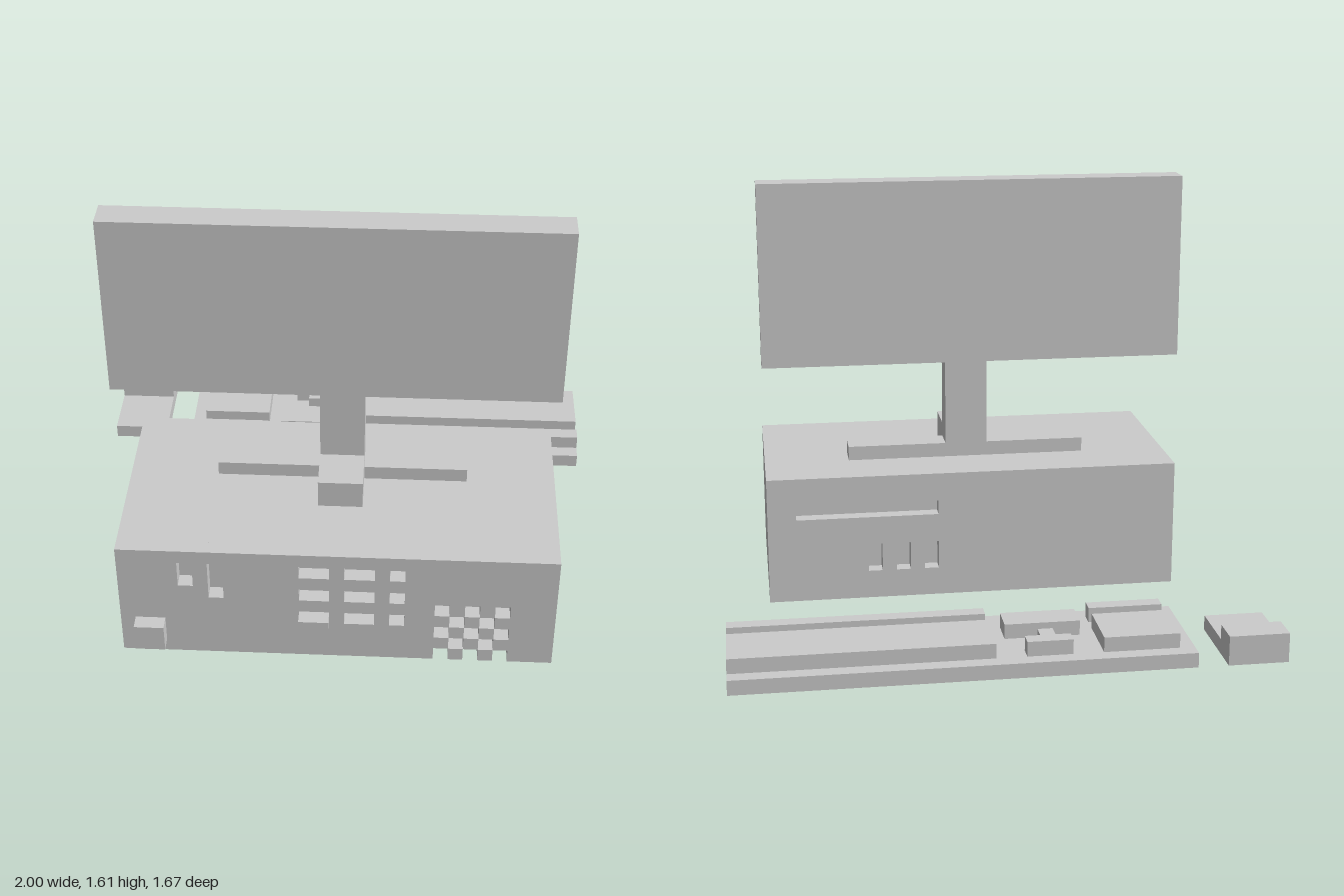
import * as THREE from 'three';

// Everything sits on a block grid, 18 blocks per unit
const U = 1 / 18;
const material = new THREE.MeshStandardMaterial({ color: 0xcccccc, flatShading: true });

// Box from its grid limits
function block(parent, name, x0, x1, y0, y1, z0, z1) {
  const geometry = new THREE.BoxGeometry((x1 - x0) * U, (y1 - y0) * U, (z1 - z0) * U);
  const mesh = new THREE.Mesh(geometry, material);
  mesh.name = name;
  mesh.position.set((x0 + x1) / 2 * U, (y0 + y1) / 2 * U, (z0 + z1) / 2 * U);
  parent.add(mesh);
}

// One-block-thick panel with rectangular openings [x0, x1, y0, y1]
function panel(parent, name, outline, openings, z) {
  const toPoints = (list) => list.map(([x, y]) => new THREE.Vector2(x * U, y * U));
  const shape = new THREE.Shape(toPoints(outline));
  for (const [x0, x1, y0, y1] of openings) {
    shape.holes.push(new THREE.Path(toPoints([[x0, y0], [x0, y1], [x1, y1], [x1, y0]])));
  }
  const geometry = new THREE.ExtrudeGeometry(shape, { depth: U, bevelEnabled: false });
  const mesh = new THREE.Mesh(geometry, material);
  mesh.name = name;
  mesh.position.z = z * U;
  parent.add(mesh);
}

function group(parent, name) {
  const g = new THREE.Group();
  g.name = name;
  parent.add(g);
  return g;
}

export function createModel() {
  const model = new THREE.Group();
  model.name = 'desktopComputer';

  // Case: solid core between a front and a back panel
  const body = group(model, 'case');
  block(body, 'caseCore', -14, 15, 0, 9, 1, 13);

  // Front panel: two tall slots and a 3 x 3 set of small openings
  const frontOpenings = [[-10, -9, 6, 8], [-8, -7, 5, 8]];
  for (const y of [3, 5, 7]) {
    for (const [x0, x1] of [[-2, 0], [1, 3], [4, 5]]) {
      if (y === 3 && x0 === -2) continue; // taken by the drive button
      frontOpenings.push([x0, x1, y, y + 1]);
    }
  }
  panel(body, 'frontPanel',
    [[-14, 0], [7, 0], [7, 5], [12, 5], [12, 0], [15, 0], [15, 9], [-14, 9]],
    frontOpenings, 13);

  // Chequered vent in the lower corner
  for (let row = 0; row < 5; row++) {
    for (let col = 0; col < 5; col++) {
      if ((row + col) % 2) block(body, 'ventBlock', 7 + col, 8 + col, row, row + 1, 13, 14);
    }
  }

  // Raised buttons
  block(body, 'powerButton', -13, -11, 1, 3, 14, 15);
  block(body, 'driveButton', -2, 0, 3, 4, 14, 15);

  // Back panel: long slot over three ports
  panel(body, 'backPanel', [[-14, 0], [15, 0], [15, 9], [-14, 9]],
    [[3, 13, 6, 7], [3, 4, 2, 4], [5, 6, 2, 4], [7, 8, 2, 4]], 0);

  // Monitor and stand
  const monitor = group(model, 'monitor');
  block(monitor, 'screen', -15, 15, 16, 29, 4, 6);
  block(monitor, 'neck', -1, 2, 9, 16, 4, 6);
  block(monitor, 'standFoot', -1, 2, 9, 11, 6, 9);
  block(monitor, 'standBarRight', -8, -1, 9, 10, 4, 6);
  block(monitor, 'standBarLeft', 2, 9, 9, 10, 4, 6);

  // Keyboard with raised key groups
  const keyboard = group(model, 'keyboard');
  block(keyboard, 'keyboardBase', -12, 18, 0, 1, -15, -7);
  for (const [x0, x1] of [[-11, -6], [1, 18]]) {
    block(keyboard, 'keyBlock', x0, x1, 1, 2, -14, -10);
    block(keyboard, 'keyRow', x0, x1, 1, 2, -9, -8);
  }
  block(keyboard, 'middleKeys', -5, 0, 1, 2, -11, -9);
  block(keyboard, 'arrowKeyRow', -4, -1, 1, 2, -14, -13);
  block(keyboard, 'upArrowKey', -3, -2, 1, 2, -13, -12);

  // Mouse with a raised end
  const mouse = group(model, 'mouse');
  block(mouse, 'mouseBody', -18, -14, 0, 1, -15, -9);
  block(mouse, 'mouseHump', -18, -14, 1, 2, -15, -13);

  return model;
}
